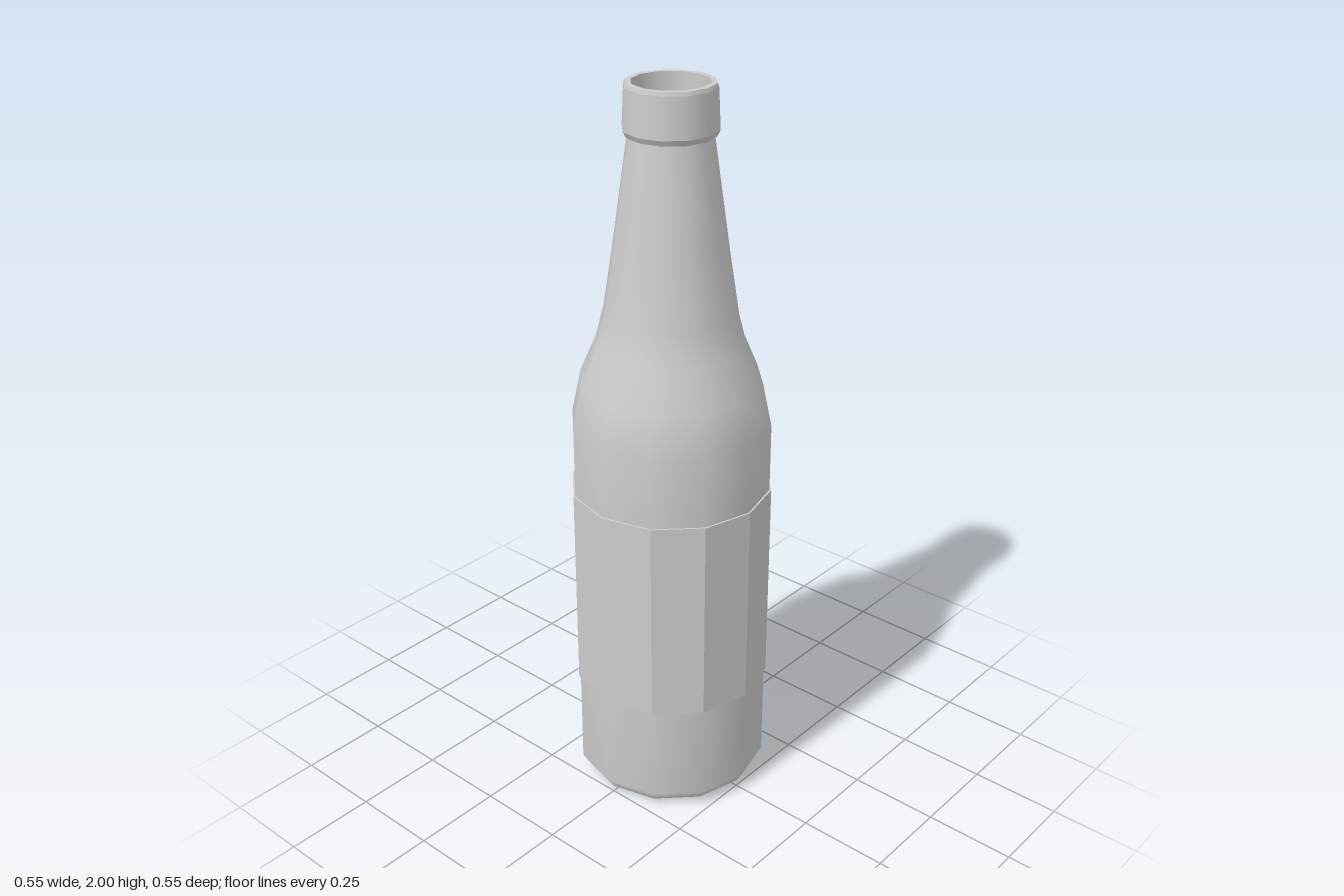
import * as THREE from 'three';

const SIDES = 12;

export function createModel() {
  const model = new THREE.Group();
  model.name = 'bottle';
  const grey = new THREE.MeshStandardMaterial({ color: 0xcccccc });
  grey.name = 'grey';

  // Turn a [radius, height] profile; each call keeps its ends sharp
  function turn(name, profile, parent, flat = false) {
    const points = profile.map(([r, y]) => new THREE.Vector2(r, y));
    let geometry = new THREE.LatheGeometry(points, SIDES);
    if (flat) {
      geometry = geometry.toNonIndexed();
      geometry.computeVertexNormals();
    }
    const mesh = new THREE.Mesh(geometry, grey);
    mesh.name = name;
    parent.add(mesh);
  }

  // Base and glass body
  turn('baseDisc', [[0, 0], [0.225, 0]], model);
  turn('baseBevel', [[0.225, 0], [0.25, 0.018]], model);
  turn('body', [
    [0.25, 0.018], [0.27, 0.05], [0.27, 0.33], [0.27, 0.91], [0.27, 1.1], [0.245, 1.22],
    [0.202, 1.32], [0.178, 1.41], [0.15, 1.59], [0.11, 1.87],
  ], model);

  // Raised wrap-around label with thin edges
  turn('label', [[0.268, 0.33], [0.275, 0.33], [0.275, 0.91], [0.268, 0.91]], model, true);

  // Lip ring around the mouth
  const lip = new THREE.Group();
  lip.name = 'lip';
  model.add(lip);
  turn('lipUnderside', [[0.108, 1.868], [0.115, 1.87]], lip);
  turn('lipLowerBevel', [[0.115, 1.87], [0.123, 1.885]], lip);
  turn('lipWall', [[0.123, 1.885], [0.118, 1.99]], lip);
  turn('lipUpperBevel', [[0.118, 1.99], [0.115, 2]], lip);
  turn('lipTop', [[0.115, 2], [0.1, 2]], lip);

  // Hollow inside the mouth
  turn('mouthWall', [[0.1, 2], [0.1, 1.8]], model);
  turn('mouthFloor', [[0.1, 1.8], [0, 1.8]], model);

  return model;
}
